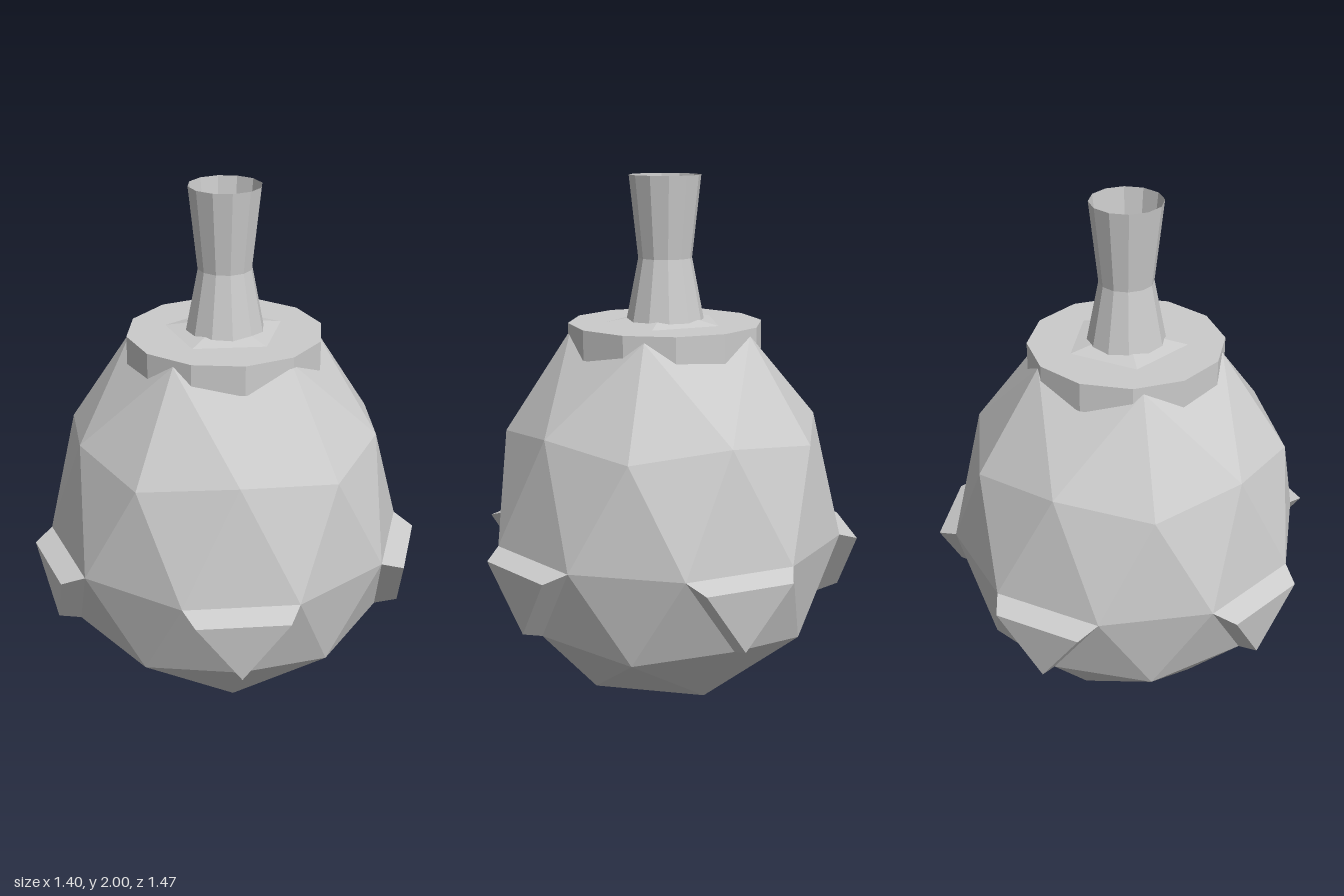
import * as THREE from 'three';

const material = new THREE.MeshStandardMaterial({ color: 0xcccccc, flatShading: true });
const openMaterial = new THREE.MeshStandardMaterial({ color: 0xcccccc, flatShading: true, side: THREE.DoubleSide });

const R = 0.672;      // body radius, also the height of its widest ring
const OFFSET_X = 0.013;

// Point on a ring: radius, height, angle from +x towards +z
function ringPoint(radius, y, degrees) {
  const a = THREE.MathUtils.degToRad(degrees);
  return new THREE.Vector3(radius * Math.cos(a), y, radius * Math.sin(a));
}

// Flat triangles, each turned to face away from the given inner point
function facetGeometry(triangles, inside) {
  const points = [];
  for (const [a, b, c] of triangles) {
    const normal = b.clone().sub(a).cross(c.clone().sub(a));
    const outward = normal.dot(a.clone().sub(inside)) > 0;
    points.push(a, ...(outward ? [b, c] : [c, b]));
  }
  const geometry = new THREE.BufferGeometry().setFromPoints(points);
  geometry.computeVertexNormals();
  return geometry;
}

const equator = (deg) => ringPoint(R, R, deg);

// Half of a once-divided icosahedron, five repeated sectors
function halfBody(start, poleY, capY, edgeY, cornerY) {
  const triangles = [];
  const pole = new THREE.Vector3(0, poleY, 0);
  const cap = (deg) => ringPoint(R * 0.5257, capY, deg);
  const edge = (deg) => ringPoint(R * 0.8507, edgeY, deg);
  const corner = (deg) => ringPoint(R * 0.8944, cornerY, deg);
  for (let i = 0; i < 5; i++) {
    const t = start + i * 72;
    triangles.push(
      [pole, cap(t), cap(t + 72)],
      [cap(t), edge(t + 36), cap(t + 72)],
      [cap(t), corner(t), edge(t + 36)],
      [cap(t), edge(t - 36), corner(t)],
      [corner(t), equator(t - 18), equator(t + 18)],
      [corner(t), equator(t + 18), edge(t + 36)],
      [edge(t + 36), equator(t + 18), equator(t + 54)],
      [edge(t + 36), equator(t + 54), corner(t + 72)]
    );
  }
  return triangles;
}

// Tapered triangular stud raised from one facet below the widest ring
function studGeometry(deg) {
  const base = [equator(deg - 18), equator(deg + 18), ringPoint(R * 0.8944, R * (1 - 0.4472), deg)];
  const centre = base[0].clone().add(base[1]).add(base[2]).divideScalar(3);
  const normal = base[1].clone().sub(base[0]).cross(base[2].clone().sub(base[0])).normalize();
  if (normal.dot(ringPoint(1, 0, deg)) < 0) normal.negate();
  const top = base.map((p) => p.clone().sub(centre).multiplyScalar(0.8).add(centre).addScaledVector(normal, 0.082));
  const triangles = [top];
  for (let i = 0; i < 3; i++) {
    const j = (i + 1) % 3;
    triangles.push([base[i], base[j], top[j]], [base[i], top[j], top[i]]);
  }
  return facetGeometry(triangles, centre.addScaledVector(normal, 0.03));
}

export function createModel() {
  const model = new THREE.Group();
  model.name = 'studdedFlask';

  function add(name, geometry, mat = material) {
    const mesh = new THREE.Mesh(geometry, mat);
    mesh.name = name;
    mesh.position.x = OFFSET_X;
    model.add(mesh);
    return mesh;
  }

  // Egg-shaped body: round below, stretched above
  add('body', facetGeometry([
    ...halfBody(0, 1.506, 1.437, 1.10, 1.06),
    ...halfBody(36, 0, R * (1 - 0.8507), R * (1 - 0.5257), R * (1 - 0.4472))
  ], new THREE.Vector3(0, R, 0)));

  // Five studs around the body
  for (let i = 0; i < 5; i++) add('stud' + (i + 1), studGeometry(36 + i * 72));

  // Collar disc
  add('collar', new THREE.CylinderGeometry(0.363, 0.363, 0.11, 12)).position.y = 1.407;

  // Open, waisted neck
  const profile = [[0.147, 1.46], [0.1, 1.7], [0.133, 2]].map(([r, y]) => new THREE.Vector2(r, y));
  add('neck', new THREE.LatheGeometry(profile, 12), openMaterial);

  return model;
}
